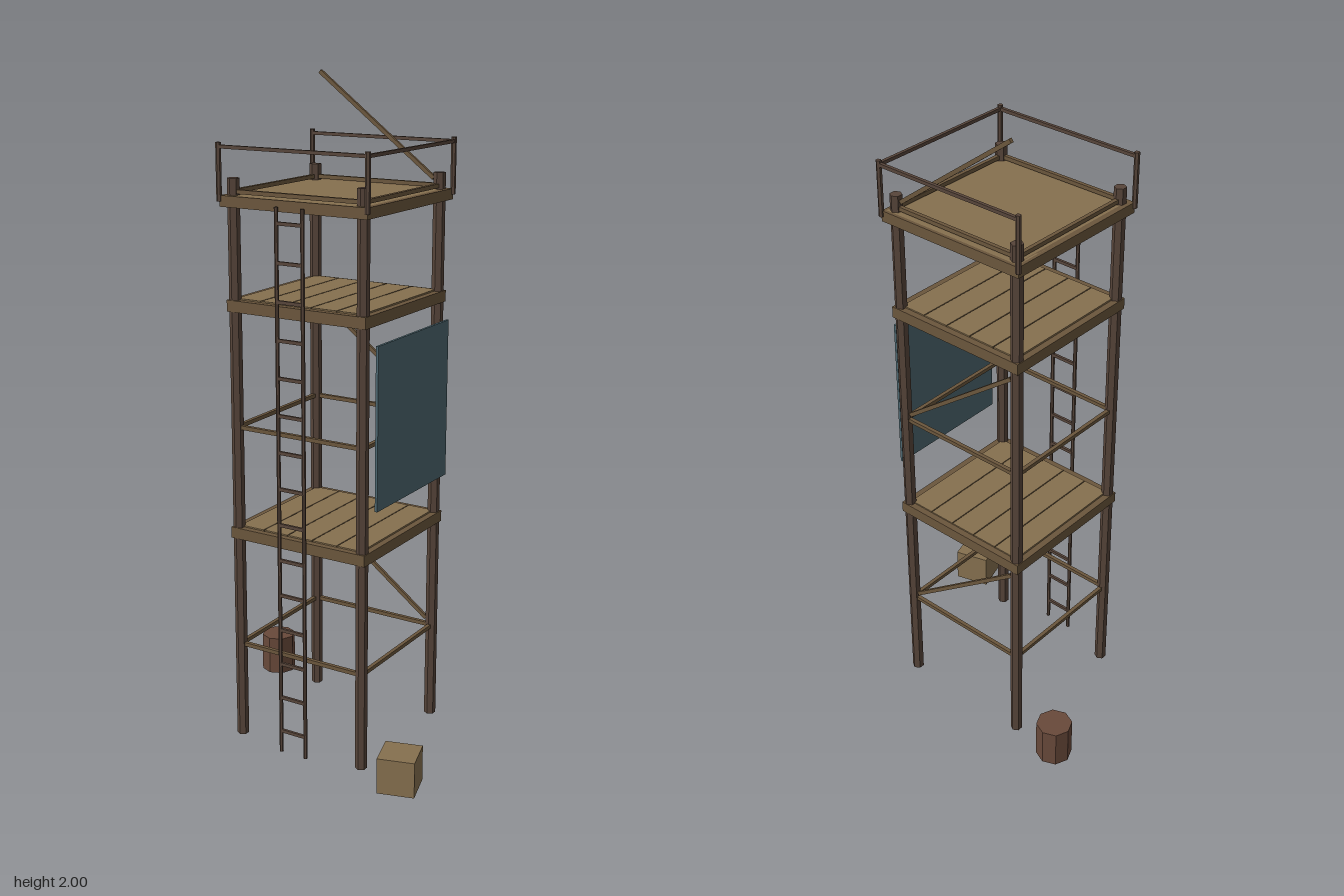
import * as THREE from 'three';

const mat = (color) => new THREE.MeshStandardMaterial({ color, flatShading: true });

export function createModel() {
  const model = new THREE.Group();
  const dark = mat(0x57453a), beam = mat(0x6b563c), plank = mat(0x86704f);
  const cloth = mat(0x4c666f), barrelWood = mat(0x68493a);

  const add = (parent, name, geo, material, x, y, z) => {
    const m = new THREE.Mesh(geo, material);
    m.name = name;
    m.position.set(x, y, z);
    parent.add(m);
    return m;
  };
  const box = (parent, name, material, w, h, d, x, y, z) =>
    add(parent, name, new THREE.BoxGeometry(w, h, d), material, x, y, z);

  // Tower, built around its own centre line
  const tower = new THREE.Group();
  tower.name = 'tower';
  tower.position.set(-0.008, 0, -0.028);
  model.add(tower);
  const P = 0.214;
  const corners = [[-1, -1], [1, -1], [1, 1], [-1, 1]];

  // Corner posts
  for (const [sx, sz] of corners)
    add(tower, 'post', new THREE.CylinderGeometry(0.018, 0.018, 1.72, 6), dark, sx * P, 0.86, sz * P);

  // Four beams around a square
  const ring = (name, half, t, h, y) => {
    for (const s of [-1, 1]) {
      box(tower, name, beam, 2 * half + t, h, t, 0, y, s * half);
      box(tower, name, beam, t, h, 2 * half - t, s * half, y, 0);
    }
  };

  // Horizontal and diagonal braces, one set per storey
  for (let i = 0; i < 3; i++) {
    const y = 0.302 + i * 0.69;
    ring('brace', P, 0.012, 0.012, y);
    const dx = 0.39, dy = 0.292;
    const d = box(tower, 'diagonalBrace', beam, Math.hypot(dx, dy), 0.012, 0.01, 0, y + 0.166, -P);
    d.rotation.z = -Math.atan2(dy, dx);
  }

  // Plank floors with edge beams
  for (const y of [0.664, 1.355]) {
    ring('floorEdge', 0.222, 0.02, 0.034, y);
    const w = 0.424 / 5;
    for (let i = 0; i < 5; i++)
      box(tower, 'plank', plank, w - 0.003, 0.026, 0.424, (i - 2) * w, y + 0.008, 0);
  }

  // Top deck
  box(tower, 'topDeck', plank, 0.466, 0.022, 0.466, 0, 1.661, 0);
  ring('deckEdge', 0.234, 0.018, 0.032, 1.656);

  // Railing, open on the -x side
  const R = 0.243;
  for (const [sx, sz] of corners)
    add(tower, 'railPost', new THREE.CylinderGeometry(0.008, 0.008, 0.165, 6), dark, sx * R, 1.7375, sz * R);
  for (const s of [-1, 1])
    box(tower, 'rail', dark, 2 * R, 0.01, 0.01, 0, 1.808, s * R);
  box(tower, 'rail', dark, 0.01, 0.01, 2 * R, R, 1.808, 0);

  // Ladder on the front
  const ladder = new THREE.Group();
  ladder.name = 'ladder';
  ladder.position.set(-0.008, 0, 0.226);
  model.add(ladder);
  for (const s of [-1, 1])
    add(ladder, 'ladderRail', new THREE.CylinderGeometry(0.006, 0.006, 1.655, 6), dark, s * 0.043, 0.8275, 0);
  for (let i = 0; i < 15; i++)
    box(ladder, 'rung', dark, 0.086, 0.01, 0.008, 0, 0.07 + i * 0.11, 0);

  // Hanging cloth panel on the +x side
  box(model, 'panel', cloth, 0.008, 0.48, 0.41, 0.246, 1.05, -0.027);

  // Crate and barrel on the ground
  const crate = box(model, 'crate', plank, 0.111, 0.11, 0.111, 0.365, 0.063, 0.234);
  crate.rotation.y = 0.29;
  add(model, 'barrel', new THREE.CylinderGeometry(0.055, 0.055, 0.124, 8), barrelWood, -0.382, 0.07, -0.251);

  return model;
}
